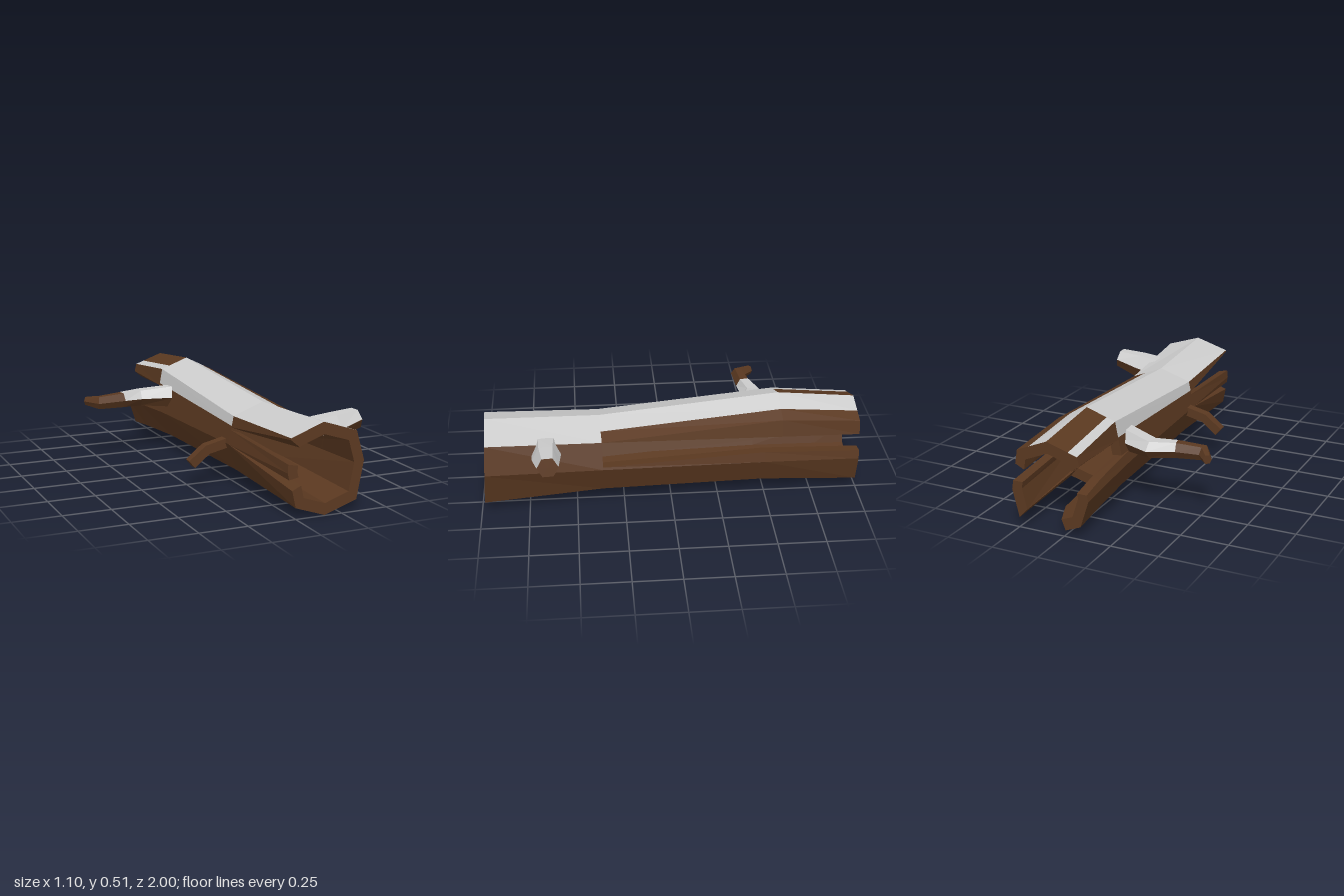
import * as THREE from 'three';

const bark = new THREE.MeshStandardMaterial({ color: 0x5a3820, flatShading: true });
const snow = new THREE.MeshStandardMaterial({ color: 0xcccccc, flatShading: true });

// Outer outline [x, y] at stations along z, clockwise from the top:
// 0 top, 1 top right, 2 right, 3 low right, 4 bottom, 5 low left, 6 left, 7 top left
const stations = [
  { z: 0.98, c: [0.17, 0.23], p: [[.16, .46], [.345, .40], [.385, .25], [.34, .06], [.16, .005], [0, .06], [-.035, .23], [-.02, .40]] },
  { z: 0.37, c: [0.14, 0.24], p: [[.13, .44], [.30, .37], [.35, .235], [.30, .09], [.13, .045], [-.02, .09], [-.07, .235], [-.04, .38]] },
  { z: -0.58, c: [0.10, 0.27], p: [[.095, .515], [.255, .435], [.305, .215], [.26, .085], [.10, .035], [-.05, .085], [-.105, .225], [-.06, .46]] },
  { z: -0.99, c: [0.08, 0.24], p: [[.09, .475], [.25, .41], [.285, .20], [.25, .055], [.08, 0], [-.08, .06], [-.125, .20], [-.07, .42]] },
];
const lerp = THREE.MathUtils.lerp;

// Point on the log: u runs around the outline, k = 1 outer skin, less = inner skin
function logPoint(z, u, k) {
  let s = 0;
  while (s < 2 && z < stations[s + 1].z) s++;
  const A = stations[s], B = stations[s + 1], t = (z - A.z) / (B.z - A.z);
  const f = Math.floor(u), i = ((f % 8) + 8) % 8, j = (i + 1) % 8;
  const xy = [0, 1].map((n) => {
    const c = lerp(A.c[n], B.c[n], t);
    const o = lerp(lerp(A.p[i][n], A.p[j][n], u - f), lerp(B.p[i][n], B.p[j][n], u - f), t);
    return c + (o - c) * k;
  });
  const lean = z > 0.9 ? (0.23 - xy[1]) * 0.06 : 0;
  return new THREE.Vector3(xy[0], xy[1], z - 0.045 * (xy[0] - lerp(A.c[0], B.c[0], t)) + lean);
}

// Collects quads in bark and snow, then turns them into meshes
function makeBuilder(name) {
  const data = { bark: [], snow: [] };
  return {
    quad(a, b, c, d, kind = 'bark') {
      for (const v of [a, b, c, a, c, d]) data[kind].push(v.x, v.y, v.z);
    },
    finish() {
      const group = new THREE.Group();
      group.name = name;
      for (const [kind, mat] of [['bark', bark], ['snow', snow]]) {
        if (!data[kind].length) continue;
        const g = new THREE.BufferGeometry();
        g.setAttribute('position', new THREE.Float32BufferAttribute(data[kind], 3));
        g.computeVertexNormals();
        const mesh = new THREE.Mesh(g, mat);
        mesh.name = name + (kind === 'bark' ? 'Bark' : 'Snow');
        group.add(mesh);
      }
      return group;
    },
  };
}

// Thick curved plank: rows of [z, uStart, uEnd]; snowRanges are [from, to] in u
function plank(name, rows, snowRanges = []) {
  const b = makeBuilder(name);
  const lo = Math.min(...rows.map((r) => r[1])), hi = Math.max(...rows.map((r) => r[2]));
  const cuts = new Set([lo, hi, ...snowRanges.flat()]);
  for (let u = Math.ceil(lo); u <= hi; u++) cuts.add(u);
  const us = [...cuts].filter((u) => u >= lo && u <= hi).sort((x, y) => x - y);
  const n = us.length - 1;
  const skin = (k) => rows.map(([z, a, e]) => us.map((u, j) =>
    logPoint(z, j === 0 ? a : j === n ? e : THREE.MathUtils.clamp(u, a, e), k)));
  const O = skin(1), I = skin(0.74), last = rows.length - 1;
  for (let i = 0; i < last; i++) {
    for (let j = 0; j < n; j++) {
      const mid = (us[j] + us[j + 1]) / 2;
      const white = snowRanges.some(([f, t]) => mid > f && mid < t);
      b.quad(O[i][j], O[i][j + 1], O[i + 1][j + 1], O[i + 1][j], white ? 'snow' : 'bark');
      b.quad(I[i][j], I[i + 1][j], I[i + 1][j + 1], I[i][j + 1]);
    }
    b.quad(O[i][n], I[i][n], I[i + 1][n], O[i + 1][n]);
    b.quad(O[i][0], O[i + 1][0], I[i + 1][0], I[i][0]);
  }
  for (let j = 0; j < n; j++) {
    b.quad(O[0][j], I[0][j], I[0][j + 1], O[0][j + 1]);
    b.quad(O[last][j], O[last][j + 1], I[last][j + 1], I[last][j]);
  }
  return b.finish();
}

// Tapered branch: sections of [x, y, z, halfWidth, halfHeight]; top is snowy on the first snowSegs
function branch(name, sections, sides, snowSegs = 0) {
  const b = makeBuilder(name);
  const centres = sections.map((s) => new THREE.Vector3(s[0], s[1], s[2]));
  const up0 = new THREE.Vector3(0, 1, 0), last = sections.length - 1;
  const rings = sections.map((s, i) => {
    const d = centres[Math.min(i + 1, last)].clone().sub(centres[Math.max(i - 1, 0)]).normalize();
    const side = d.clone().cross(up0).normalize(), up = side.clone().cross(d);
    return Array.from({ length: sides }, (_, j) => {
      const a = (j + (sides === 4 ? 0.5 : 0)) * Math.PI * 2 / sides;
      const w = s[3] * Math.cos(a), h = s[4] * Math.sin(a) / Math.sin(sides === 4 ? Math.PI / 4 : Math.PI / 3);
      return centres[i].clone().addScaledVector(side, w).addScaledVector(up, h);
    });
  });
  for (let j = 0; j < sides; j++) {
    const k = (j + 1) % sides;
    for (let i = 0; i < last; i++) {
      const white = i < snowSegs && j < sides / 2;
      b.quad(rings[i][j], rings[i + 1][j], rings[i + 1][k], rings[i][k], white ? 'snow' : 'bark');
    }
    b.quad(centres[last], rings[last][k], rings[last][j], centres[last]);
  }
  return b.finish();
}

export function createModel() {
  const model = new THREE.Group();
  model.name = 'hollowLog';

  // Upper shell with its snow cover
  model.add(
    plank('frontCap', [[0.98, -1.05, 2], [0.37, -1.4, 2]], [[-1, 1]]),
    plank('middleCap', [[0.37, -1.75, 1.5], [-0.58, -1.75, 1.4]], [[-1.35, 0.6]]),
    plank('backCap', [[-0.58, -1.4, 1.4], [-0.99, -1.2, 1.35]], [[-1, -0.7], [0, 0.6]]),
  );

  // Lower shell, splitting into two prongs at the back
  model.add(
    plank('frontTrough', [[0.98, 2, 5.5], [0.37, 2, 6]]),
    plank('middleTrough', [[0.37, 1.9, 6.25], [-0.48, 1.75, 6.25]]),
    plank('backRightProng', [[-0.48, 1.75, 3.1], [-0.99, 1.78, 3]]),
    plank('backLeftProng', [[-0.48, 4, 6.25], [-0.83, 4, 6.2], [-0.99, 4.5, 6.15]]),
    plank('frontLeftSplinter', [[0.97, 5.8, 6.25], [0.37, 6, 6.5]]),
  );

  // Branches
  model.add(
    branch('snowyStub', [[0.29, 0.325, 0.65, 0.08, 0.075], [0.40, 0.345, 0.65, 0.072, 0.068], [0.53, 0.377, 0.64, 0.055, 0.047]], 6, 2),
    branch('crookedBranch', [
      [-0.04, 0.33, -0.43, 0.065, 0.06], [-0.23, 0.323, -0.50, 0.065, 0.043], [-0.35, 0.325, -0.465, 0.045, 0.04],
      [-0.49, 0.323, -0.45, 0.04, 0.034], [-0.54, 0.323, -0.525, 0.022, 0.022]], 6, 2),
    branch('twig', [[-0.05, 0.235, 0.32, 0.036, 0.025], [-0.17, 0.207, 0.32, 0.036, 0.025], [-0.257, 0.137, 0.32, 0.033, 0.025]], 4),
  );
  return model;
}
